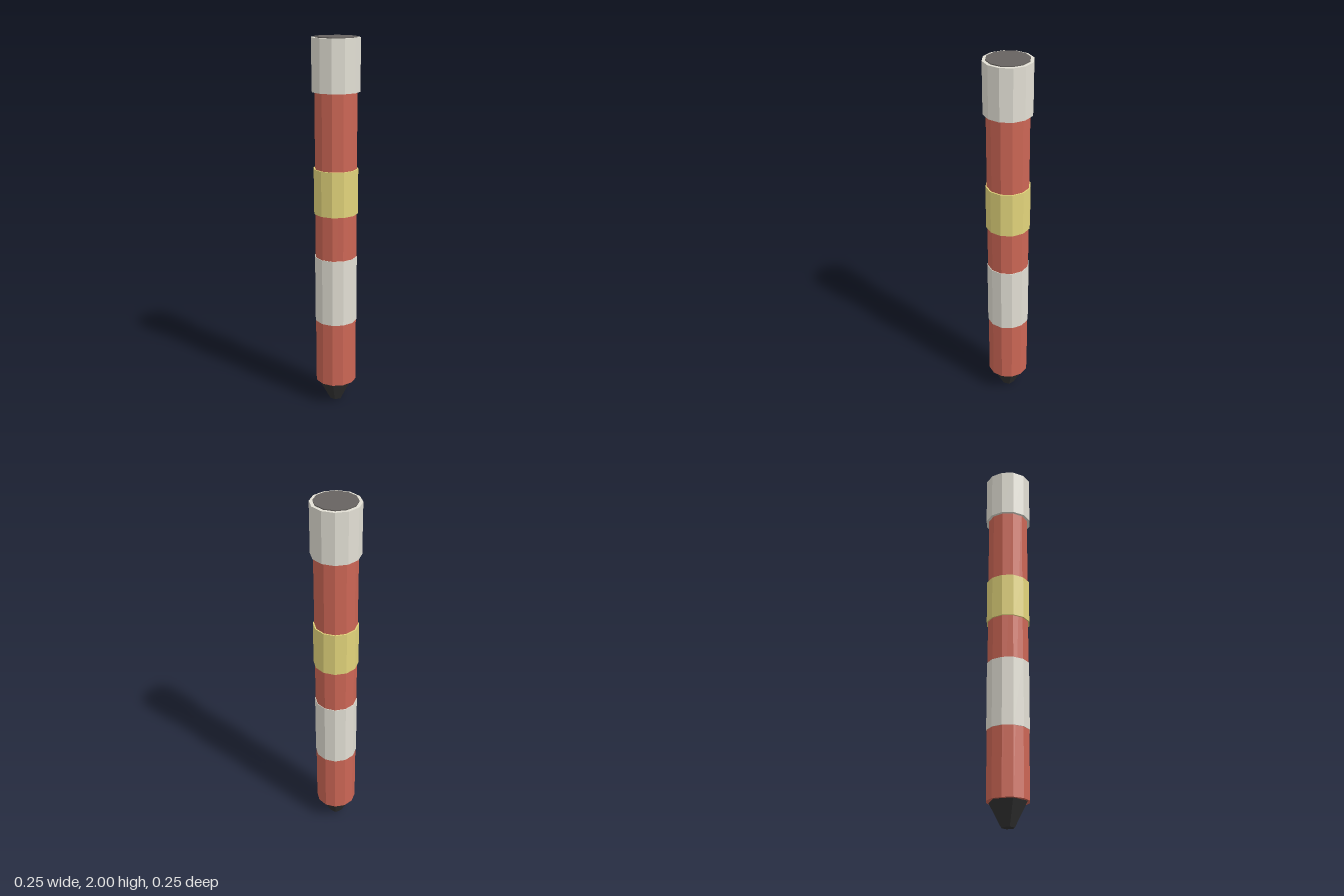
import * as THREE from 'three';

const mat = (name, color) => {
  const m = new THREE.MeshStandardMaterial({ color, flatShading: true });
  m.name = name;
  return m;
};

export function createModel() {
  const red = mat('red', 0xcc6655);
  const white = mat('offWhite', 0xe2dfd4);
  const yellow = mat('yellow', 0xe2d47b);
  const black = mat('black', 0x313131);
  const grey = mat('darkGrey', 0x676360);

  const group = new THREE.Group();
  group.name = 'stick';

  // Upright faceted cylinder between two heights
  const addTube = (name, material, y0, y1, rBottom, rTop = rBottom, sides = 12) => {
    const mesh = new THREE.Mesh(
      new THREE.CylinderGeometry(rTop, rBottom, y1 - y0, sides), material);
    mesh.name = name;
    mesh.position.y = (y0 + y1) / 2;
    group.add(mesh);
  };

  addTube('body', red, 0.125, 1.9, 0.111);
  // Six-sided tapered tip
  addTube('tip', black, 0, 0.125, 0.034, 0.1, 6);
  // Bands wrapped around the body
  addTube('lowerBand', white, 0.485, 0.85, 0.114);
  addTube('upperBand', yellow, 1.09, 1.33, 0.118);
  // Cap with a thin disc on top
  addTube('cap', white, 1.727, 1.995, 0.126);
  addTube('capDisc', grey, 1.99, 2, 0.109);

  return group;
}
